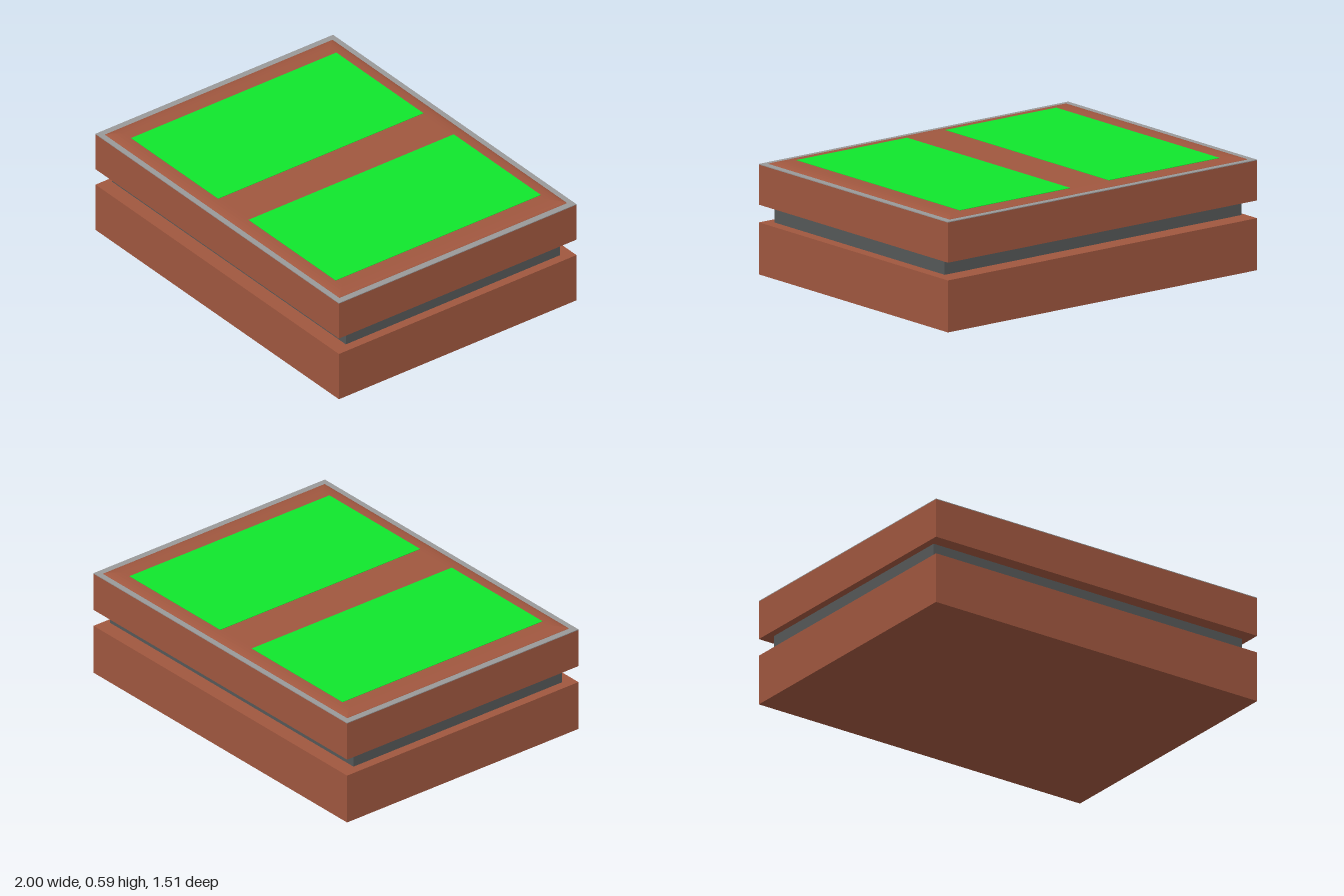
import * as THREE from 'three';

const BRICK = 0xa0573f, GREEN = 0x10e62d, DARK = 0x555858, RIM = 0x999999;

export function createModel() {
  const model = new THREE.Group();

  const add = (name, geometry, color) => {
    const mesh = new THREE.Mesh(geometry, new THREE.MeshStandardMaterial({ color }));
    mesh.name = name;
    model.add(mesh);
    return mesh;
  };

  // Box spanning the heights y0 to y1
  const slab = (name, width, depth, y0, y1, color, x = 0) =>
    add(name, new THREE.BoxGeometry(width, y1 - y0, depth), color).position.set(x, (y0 + y1) / 2, 0);

  const rectangle = (type, w, d) => {
    const outline = new type();
    outline.moveTo(-w, -d).lineTo(w, -d).lineTo(w, d).lineTo(-w, d).closePath();
    return outline;
  };

  // Stacked body with a recessed band
  slab('base', 2, 1.51, 0, 0.27, BRICK);
  slab('recessedBand', 1.92, 1.36, 0.278, 0.362, DARK);
  slab('upperBlock', 2, 1.51, 0.362, 0.57, BRICK);

  // Thin grey rim around the top
  const rimShape = rectangle(THREE.Shape, 1, 0.755);
  rimShape.holes.push(rectangle(THREE.Path, 0.955, 0.715));
  const rim = new THREE.ExtrudeGeometry(rimShape, { depth: 0.004, bevelEnabled: false });
  rim.rotateX(-Math.PI / 2).translate(0, 0.57, 0);
  add('topRim', rim, RIM);

  // Shallow lid with rounded edges, its lower half sunk in the block
  const lid = new THREE.ExtrudeGeometry(rectangle(THREE.Shape, 0.885, 0.645), {
    depth: 0.001, bevelSize: 0.08, bevelThickness: 0.015, bevelSegments: 6,
  });
  lid.rotateX(-Math.PI / 2).translate(0, 0.571, 0);
  add('lid', lid, BRICK);

  // Two flat panels on the lid
  for (const side of [-1, 1]) {
    slab(side > 0 ? 'leftPanel' : 'rightPanel', 0.715, 1.304, 0.585, 0.589, GREEN, side * 0.4825);
  }

  return model;
}
